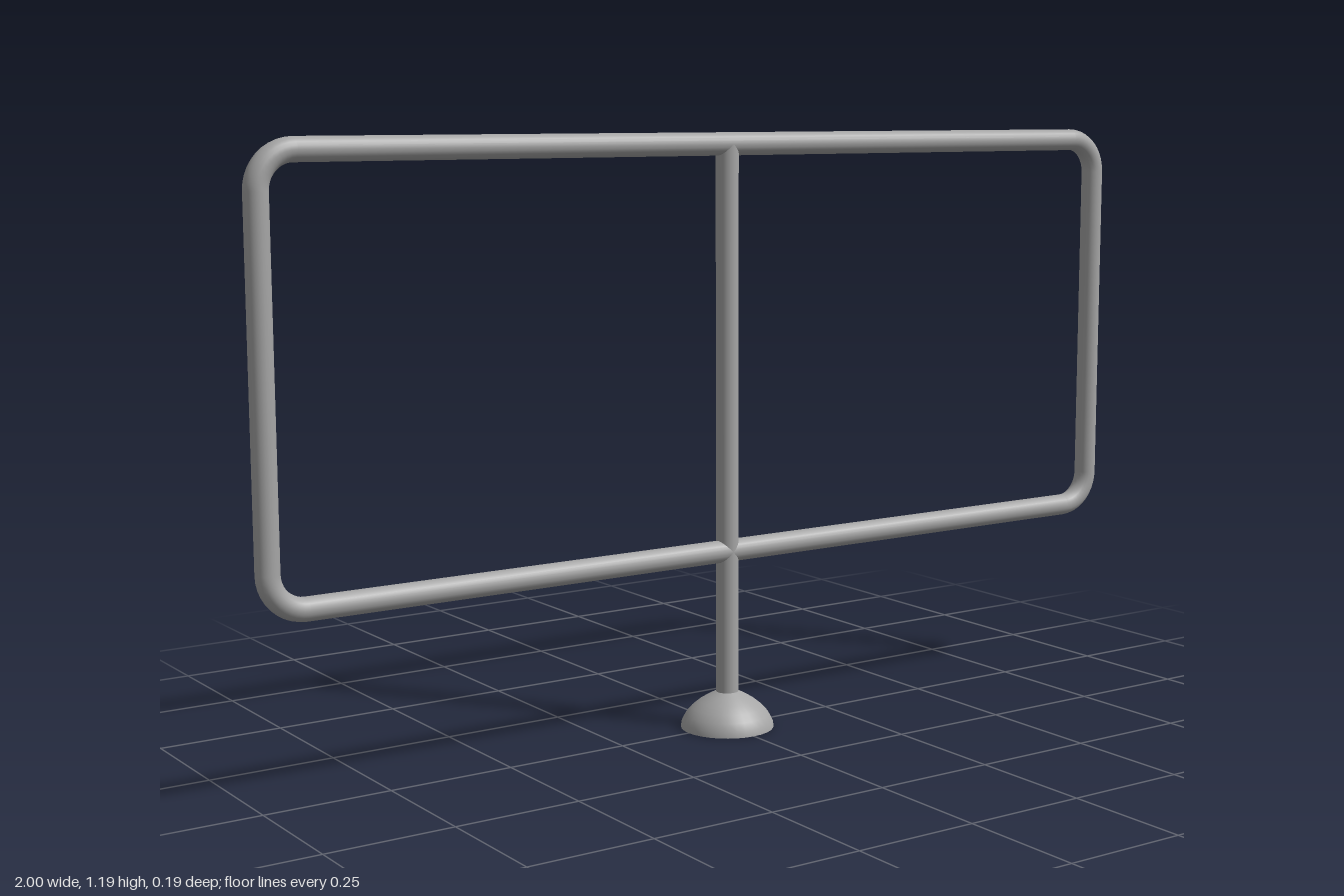
import * as THREE from 'three';

const R = 0.0225;               // tube radius
const BEND = 0.07;              // corner radius on the tube centreline
const X = 1 - R;                // frame half width on the centreline
const BOTTOM = 0.361, TOP = 1.168;
const SIDES = 20;

export function createModel() {
  const model = new THREE.Group();
  const metal = new THREE.MeshStandardMaterial({ color: 0xa6a6a6 });
  metal.name = 'grey metal';
  metal.side = THREE.DoubleSide;

  const add = (name, geometry, x, y, parent = model) => {
    const mesh = new THREE.Mesh(geometry, metal);
    mesh.name = name;
    mesh.position.set(x, y, 0);
    parent.add(mesh);
    return mesh;
  };
  const rod = (length) => new THREE.CylinderGeometry(R, R, length, SIDES, 1, true);

  // Rounded rectangular frame: four straight rods and four quarter bends
  const frame = new THREE.Group();
  frame.name = 'frame';
  model.add(frame);
  const middle = (BOTTOM + TOP) / 2;
  for (const [name, y] of [['topRail', TOP], ['bottomRail', BOTTOM]]) {
    add(name, rod(2 * (X - BEND)), 0, y, frame).rotation.z = Math.PI / 2;
  }
  for (const [name, side] of [['leftUpright', 1], ['rightUpright', -1]]) {
    add(name, rod(TOP - BOTTOM - 2 * BEND), side * X, middle, frame);
  }
  const corners = [
    ['topLeftBend', 1, TOP - BEND],
    ['topRightBend', -1, TOP - BEND],
    ['bottomRightBend', -1, BOTTOM + BEND],
    ['bottomLeftBend', 1, BOTTOM + BEND],
  ];
  corners.forEach(([name, side, y], i) => {
    const bend = new THREE.TorusGeometry(BEND, R, SIDES, 10, Math.PI / 2);
    add(name, bend, side * (X - BEND), y, frame).rotation.z = i * Math.PI / 2;
  });

  // Centre post from the base up to the top rail
  const postBottom = 0.065;
  add('post', new THREE.CylinderGeometry(R, R, TOP - postBottom, SIDES), 0, (TOP + postBottom) / 2);

  // Hollow domed foot
  const profile = [[0.094, 0], [0.092, 0.012], [0.084, 0.027], [0.072, 0.041],
    [0.056, 0.054], [0.038, 0.065], [0.022, 0.073]];
  const dome = new THREE.LatheGeometry(profile.map(([x, y]) => new THREE.Vector2(x, y)), 32);
  add('base', dome, 0, 0);

  return model;
}
